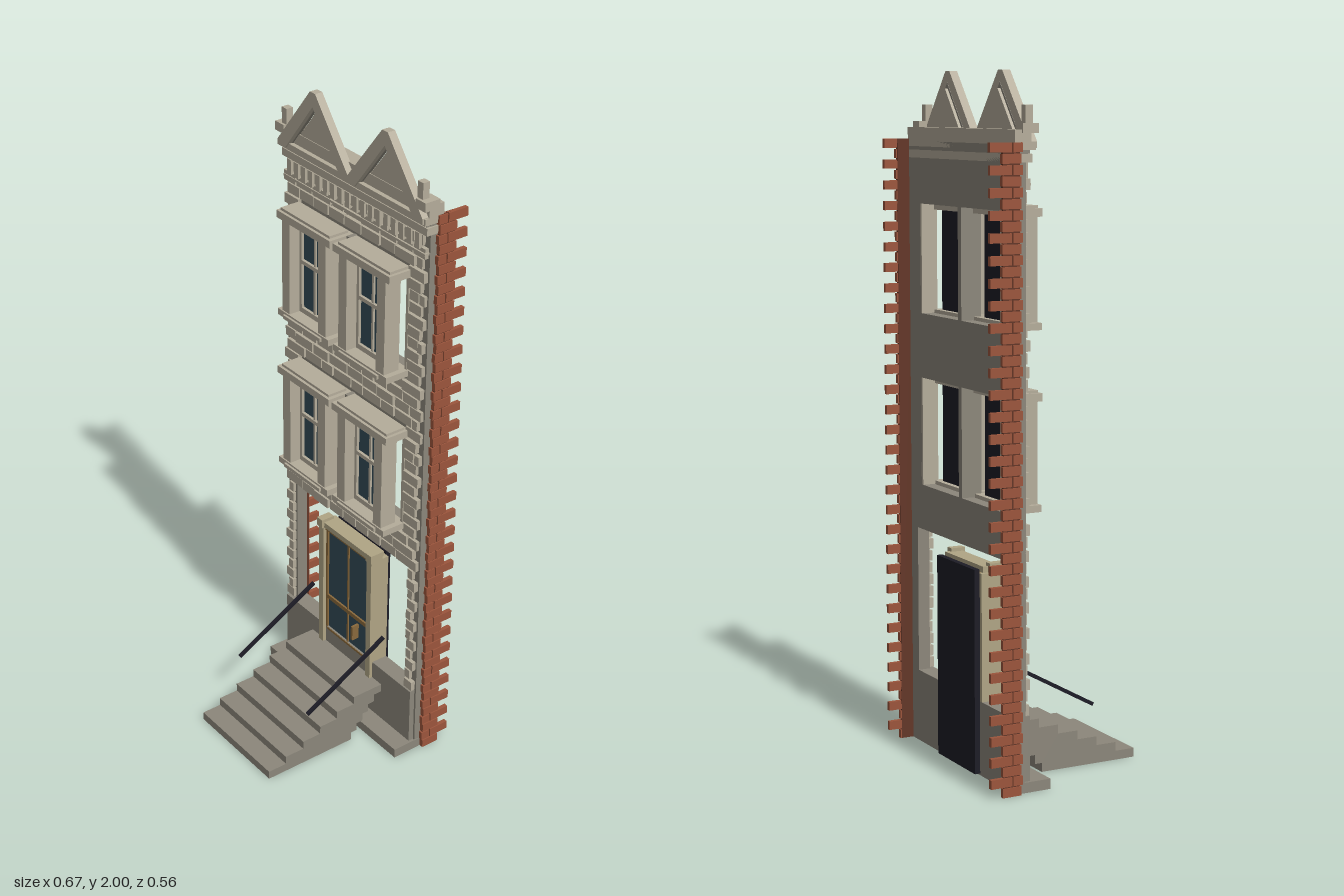
import * as THREE from 'three';
import { mergeGeometries } from 'three/addons/utils/BufferGeometryUtils.js';

const material = (name, color) => {
  const m = new THREE.MeshStandardMaterial({ color });
  m.name = name;
  return m;
};

export function createModel() {
  const stone = material('light stone', 0xb5ad9b);
  const wallGrey = material('grey stone', 0x8c877b);
  const brick = material('red brick', 0x9c553c);
  const mortar = material('dark mortar', 0x633627);
  const glass = material('blue glass', 0x334a57);
  const dark = material('black metal', 0x1d1c26);
  const wood = material('door wood', 0x8a6a3c);
  const tan = material('tan trim', 0xb0a585);

  const model = new THREE.Group();
  model.name = 'townhouseFacade';

  let seed = 7;
  const random = () => (seed = (seed * 16807) % 2147483647) / 2147483647;

  const boxGeo = (x0, x1, y0, y1, z0, z1) =>
    new THREE.BoxGeometry(x1 - x0, y1 - y0, z1 - z0)
      .translate((x0 + x1) / 2, (y0 + y1) / 2, (z0 + z1) / 2);
  const add = (name, mat, geo, parent = model) => {
    const mesh = new THREE.Mesh(geo, mat);
    mesh.name = name;
    parent.add(mesh);
    return mesh;
  };
  const box = (name, mat, ...b) => add(name, mat, boxGeo(...b));
  // Box and its mirror image across x = 0
  const pair = (name, mat, x0, x1, ...b) => {
    box(name + 'Left', mat, x0, x1, ...b);
    box(name + 'Right', mat, -x1, -x0, ...b);
  };
  const polygon = (pts, Type = THREE.Shape) => new Type(pts.map((p) => new THREE.Vector2(...p)));
  const rect = (x0, x1, y0, y1) => [[x0, y0], [x1, y0], [x1, y1], [x0, y1]];
  const extrude = (shape, z0, z1) =>
    new THREE.ExtrudeGeometry(shape, { depth: z1 - z0, bevelEnabled: false }).translate(0, 0, z0);

  // Wall with the door opening and four window openings
  const floors = [0.78, 1.29];
  const wall = polygon(rect(-0.322, 0.322, 0, 1.8));
  wall.holes.push(polygon(rect(-0.28, 0.28, 0.218, 0.656), THREE.Path));
  for (const y of floors) {
    for (const [x0, x1] of [[0.01, 0.25], [-0.25, -0.01]]) {
      wall.holes.push(polygon(rect(x0, x1, y + 0.01, y + 0.33), THREE.Path));
    }
  }
  add('wall', wallGrey, extrude(wall, -0.2, -0.163));
  box('lowerWall', wallGrey, -0.315, 0.315, 0, 0.218, -0.163, -0.146);
  box('plinth', wallGrey, -0.324, 0.324, 0, 0.03, -0.18, -0.085);

  // Stone courses in running bond, broken around the openings
  const stones = [];
  const pitch = 0.0364;
  const course = (x0, x1, y) => {
    let x = x0;
    while (x < x1 - 0.005) {
      let end = Math.min(x1, x + 0.045 + random() * 0.045);
      if (x1 - end < 0.02) end = x1;
      stones.push(boxGeo(x, end - 0.006, y, y + pitch - 0.006, -0.165, -0.154 + random() * 0.006));
      x = end;
    }
  };
  for (let row = 0; row < 42; row++) {
    const y = 0.222 + row * pitch;
    const inset = row % 2 ? 0.014 : 0;
    const atWindow = floors.some((f) => y + pitch > f + 0.012 && y < f + 0.328);
    if (y + pitch < 0.66 || atWindow) {
      const inner = atWindow ? 0.25 : 0.281;
      course(inner, 0.322 - inset, y);
      course(-0.322 + inset, -inner, y);
    } else {
      course(-0.322 + inset, 0.322 - inset, y);
    }
  }
  add('stoneCourses', stone, mergeGeometries(stones));

  // Toothed brick returns along both sides
  const bricks = [];
  const rows = 60;
  const rise = 1.81 / rows;
  for (const side of [1, -1]) {
    const layBrick = (z0, z1, y) => {
      const a = side * 0.323, b = side * 0.336;
      bricks.push(boxGeo(Math.min(a, b), Math.max(a, b), y, y + rise - 0.004, z0, z1));
    };
    for (let i = 0; i < rows; i++) {
      const y = i * rise;
      if (i % 2) {
        layBrick(-0.209, -0.18, y);
        layBrick(-0.279, -0.213, y);
      } else {
        layBrick(-0.242, -0.184, y);
      }
    }
  }
  add('sideBricks', brick, mergeGeometries(bricks));
  pair('brickMortar', mortar, 0.322, 0.332, 0, 1.806, -0.238, -0.186);

  // Windows: lintel, sill, jambs, sashes, glass and backing
  for (const y of floors) {
    pair('windowLintel', stone, 0.007, 0.259, y + 0.312, y + 0.335, -0.16, -0.076);
    pair('windowHood', stone, 0.02, 0.25, y + 0.335, y + 0.343, -0.15, -0.085);
    pair('windowSill', stone, 0.012, 0.255, y, y + 0.02, -0.16, -0.076);
    pair('sillLip', stone, 0.043, 0.221, y + 0.002, y + 0.014, -0.08, -0.069);
    pair('outerJamb', stone, 0.202, 0.238, y + 0.02, y + 0.312, -0.133, -0.08);
    pair('innerJamb', stone, 0.03, 0.066, y + 0.02, y + 0.312, -0.133, -0.08);
    pair('outerReveal', stone, 0.242, 0.252, y + 0.01, y + 0.33, -0.2, -0.15);
    pair('windowGlass', glass, 0.066, 0.202, y + 0.02, y + 0.312, -0.134, -0.125);
    pair('windowBacking', dark, 0.045, 0.222, y + 0.02, y + 0.312, -0.144, -0.134);
    pair('sashRail', stone, 0.066, 0.202, y + 0.178, y + 0.19, -0.126, -0.116);
    pair('sashMuntin', stone, 0.13, 0.138, y + 0.02, y + 0.312, -0.126, -0.119);
    pair('sashBottom', stone, 0.066, 0.202, y + 0.02, y + 0.036, -0.126, -0.116);
    pair('sashTop', stone, 0.066, 0.202, y + 0.302, y + 0.312, -0.126, -0.116);
    pair('sashStile', stone, 0.192, 0.202, y + 0.02, y + 0.312, -0.126, -0.116);
    pair('sashStileInner', stone, 0.066, 0.076, y + 0.02, y + 0.312, -0.126, -0.116);
    box('centrePost', wallGrey, -0.007, 0.007, y, y + 0.335, -0.163, -0.135);
  }

  // Door with frame, glass, rails and handle
  pair('doorJamb', tan, 0.108, 0.13, 0.16, 0.592, -0.2, -0.135);
  pair('doorCapital', tan, 0.108, 0.134, 0.592, 0.62, -0.175, -0.13);
  box('doorLintel', tan, -0.12, 0.12, 0.592, 0.61, -0.19, -0.138);
  box('doorHeadRail', wood, -0.108, 0.108, 0.582, 0.592, -0.2, -0.143);
  box('doorGlass', glass, -0.108, 0.108, 0.21, 0.585, -0.165, -0.152);
  box('doorBacking', dark, -0.118, 0.118, 0.005, 0.603, -0.217, -0.2);
  pair('doorStile', wood, 0.1, 0.108, 0.21, 0.585, -0.165, -0.146);
  box('doorRail', wood, -0.1, 0.1, 0.328, 0.342, -0.155, -0.146);
  box('doorBottomRail', wood, -0.1, 0.1, 0.21, 0.217, -0.155, -0.144);
  box('doorMuntin', wood, -0.003, 0.003, 0.217, 0.582, -0.155, -0.148);
  box('doorHandle', wood, 0.047, 0.055, 0.265, 0.315, -0.15, -0.125);

  // Stairs: stepped profile above and below, drawn in (-z, y) and turned sideways
  const treads = [0.28, 0.217, 0.152, 0.088, 0.024, -0.04, -0.15];
  const profile = [];
  for (let i = 0; i < 6; i++) {
    profile.push([-treads[i], (i + 1) * 0.0267], [-treads[i + 1], (i + 1) * 0.0267]);
  }
  for (let i = 5; i > 0; i--) {
    const back = 0.03 + (i - 1) * 0.022;
    profile.push([i === 5 ? 0.15 : back + 0.022, i * 0.0267], [back, i * 0.0267]);
  }
  profile.push([0.03, 0], [-0.28, 0]);
  add('stairs', wallGrey, extrude(polygon(profile.reverse()), -0.176, 0.176).rotateY(Math.PI / 2));

  // Sloping handrails
  const railLength = Math.hypot(0.287, 0.16);
  for (const side of [1, -1]) {
    const rail = add(side > 0 ? 'handrailLeft' : 'handrailRight', dark,
      new THREE.BoxGeometry(0.009, 0.011, railLength));
    rail.position.set(side * 0.177, 0.26, -0.006);
    rail.rotation.x = Math.atan2(0.16, 0.287);
  }

  // Frieze, brackets and cornice
  box('friezeLower', stone, -0.32, 0.32, 1.69, 1.697, -0.165, -0.146);
  for (let i = 0; i < 18; i++) {
    const x = -0.289 + i * 0.034;
    box('bracket', stone, x - 0.009, x + 0.009, 1.705, 1.752, -0.165, -0.143);
  }
  box('frieze', stone, -0.327, 0.327, 1.752, 1.775, -0.2, -0.146);
  box('friezeShadowBand', wallGrey, -0.32, 0.32, 1.775, 1.785, -0.2, -0.15);
  box('cornice', stone, -0.33, 0.33, 1.785, 1.805, -0.2, -0.136);
  box('parapet', stone, -0.33, 0.33, 1.805, 1.84, -0.2, -0.15);
  pair('parapetEnd', stone, 0.295, 0.336, 1.83, 1.857, -0.18, -0.13);
  pair('pinnacle', stone, 0.292, 0.315, 1.857, 1.905, -0.16, -0.138);

  // Twin gables: raking trim over a slightly smaller panel
  for (const c of [-0.16, 0.16]) {
    const trim = polygon([[c - 0.165, 1.79], [c - 0.13, 1.79], [c, 1.958], [c + 0.13, 1.79],
      [c + 0.165, 1.79], [c + 0.165, 1.807], [c + 0.012, 2], [c - 0.012, 2], [c - 0.165, 1.807]]);
    add('gableTrim', stone, extrude(trim, -0.155, -0.13));
    add('gablePanel', stone, extrude(
      polygon([[c - 0.124, 1.79], [c + 0.124, 1.79], [c, 1.95]]), -0.163, -0.152));
    add('gableBackTrim', wallGrey, extrude(
      polygon([[c - 0.137, 1.79], [c - 0.128, 1.79], [c, 1.955], [c + 0.128, 1.79],
        [c + 0.137, 1.79], [c, 1.967]]), -0.156, -0.145));
  }
  return model;
}
